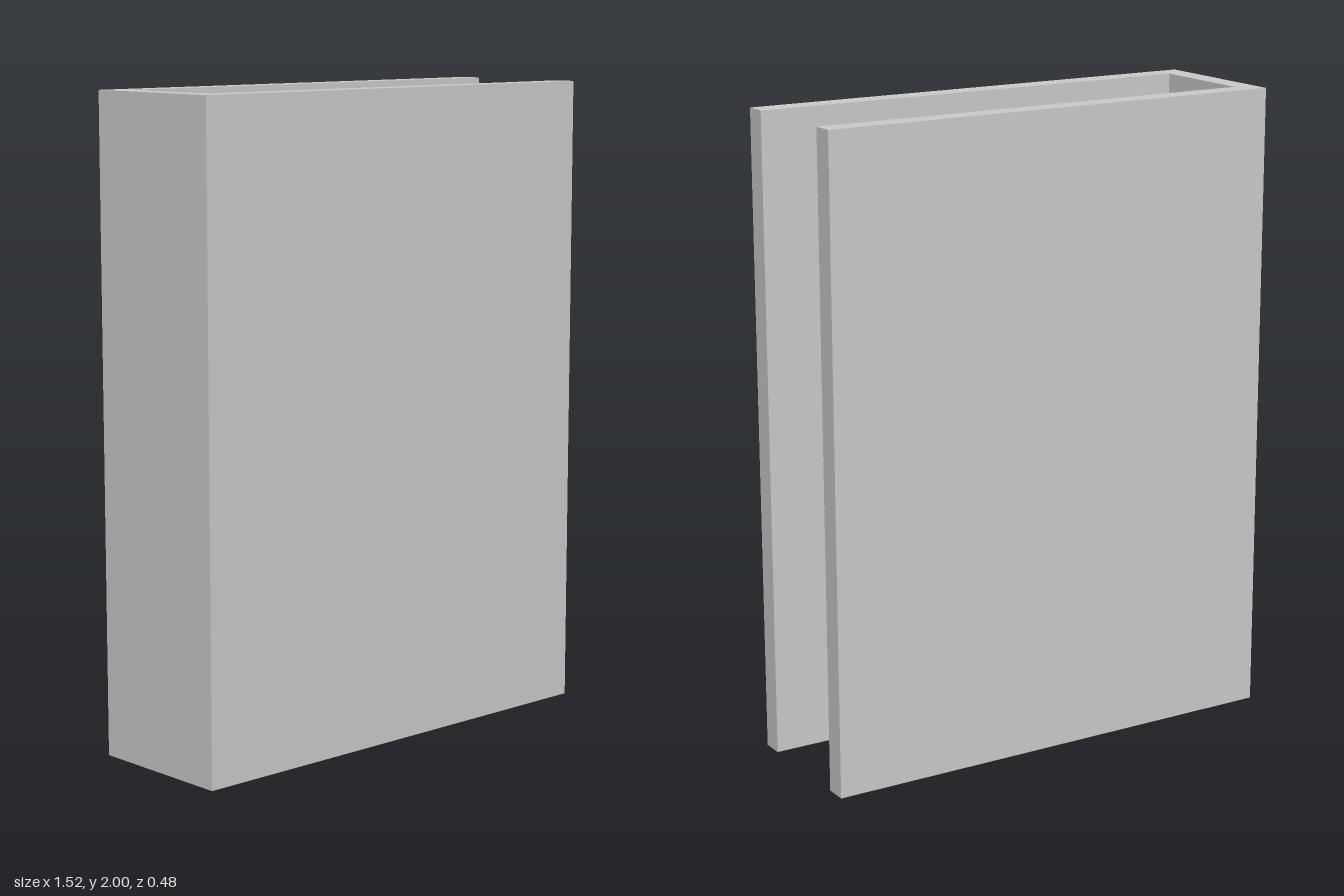
import * as THREE from 'three';

// The whole model sits on a grid of one board thickness, 29 units tall.
const U = 2 / 29;

export function createModel() {
  const group = new THREE.Group();
  group.name = 'ringBinder';
  const material = new THREE.MeshStandardMaterial({ color: 0xcccccc, flatShading: true });

  // Extrudes an [x, z] outline upwards from y0 to y1 (all in grid units).
  function slab(name, outline, y0, y1, parent = group) {
    const shape = new THREE.Shape(outline.map(([x, z]) => new THREE.Vector2(x * U, -z * U)));
    const geometry = new THREE.ExtrudeGeometry(shape, { depth: (y1 - y0) * U, bevelEnabled: false });
    geometry.rotateX(-Math.PI / 2);
    geometry.translate(0, y0 * U, 0);
    const mesh = new THREE.Mesh(geometry, material);
    mesh.name = name;
    parent.add(mesh);
  }

  const rect = (x0, x1, z0, z1) => [[x0, z0], [x1, z0], [x1, z1], [x0, z1]];

  // Spine and both covers as one U-shaped shell, open at the left
  slab('cover', [
    [-11, -3.5], [11, -3.5], [11, -2.5], [-10, -2.5],
    [-10, 2.5], [11, 2.5], [11, 3.5], [-11, 3.5],
  ], 0, 29);

  // Plate inside the spine that carries the rings
  slab('ringPlate', rect(-10, -9, -2.5, 2.5), 1, 28);

  // Two square rings, each a hooked back arm and a shorter front arm
  for (const [name, y] of [['lowerRing', 9], ['upperRing', 19]]) {
    const ring = new THREE.Group();
    ring.name = name;
    group.add(ring);
    slab('hookedArm', [
      [-9, -1.5], [-4, -1.5], [-4, 0.5], [-5, 0.5], [-5, -0.5], [-9, -0.5],
    ], y, y + 1, ring);
    slab('straightArm', rect(-9, -5, 0.5, 1.5), y, y + 1, ring);
  }

  return group;
}
